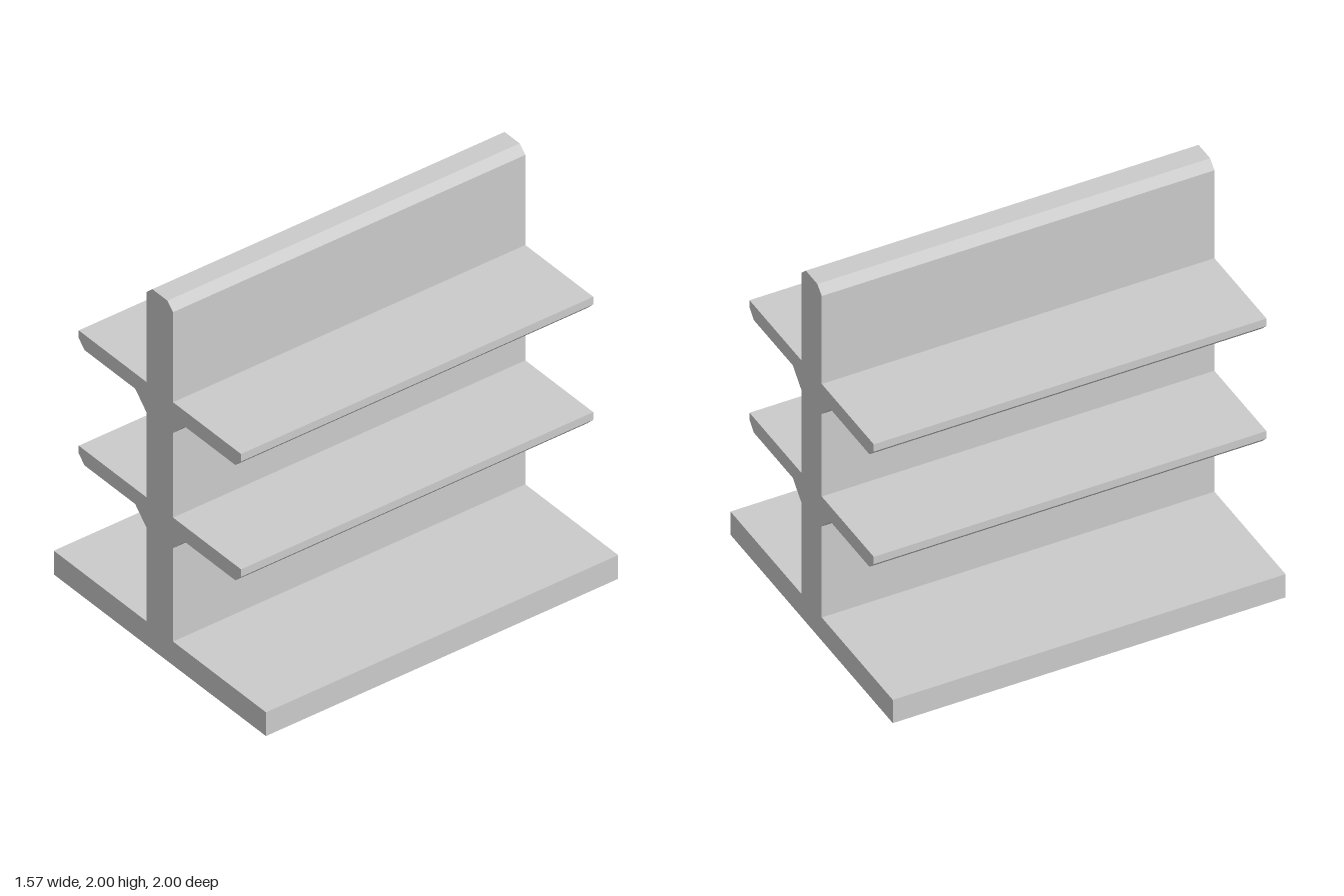
import * as THREE from 'three';

const LENGTH = 2;
const SPINE = 0.098; // half thickness of the upright
const SHELF_TOPS = [0.82, 1.46];

// Right-hand outline of one shelf with its bracket, from bottom to top
const shelfOutline = (top) => [
  [SPINE, top - 0.17],
  [0.183, top - 0.085],
  [0.56, top - 0.085],
  [0.602, top - 0.042],
  [0.602, top],
  [SPINE, top],
];

export function createModel() {
  const group = new THREE.Group();
  group.name = 'shelfUnit';

  // Half section: base slab, two shelves, chamfered top
  const half = [
    [0.787, 0],
    [0.787, 0.132],
    [SPINE, 0.132],
    ...SHELF_TOPS.flatMap(shelfOutline),
    [SPINE, 1.96],
    [0.056, 2],
  ];
  const mirrored = half.map(([x, y]) => [-x, y]).reverse();
  const section = new THREE.Shape(
    [...half, ...mirrored].map(([x, y]) => new THREE.Vector2(x, y))
  );

  // One seamless body running front to back
  const geometry = new THREE.ExtrudeGeometry(section, { depth: LENGTH, bevelEnabled: false });
  geometry.translate(0, 0, -LENGTH / 2);
  const material = new THREE.MeshStandardMaterial({ color: 0xcccccc, flatShading: true });
  const body = new THREE.Mesh(geometry, material);
  body.name = 'baseSpineAndShelves';
  group.add(body);

  return group;
}
